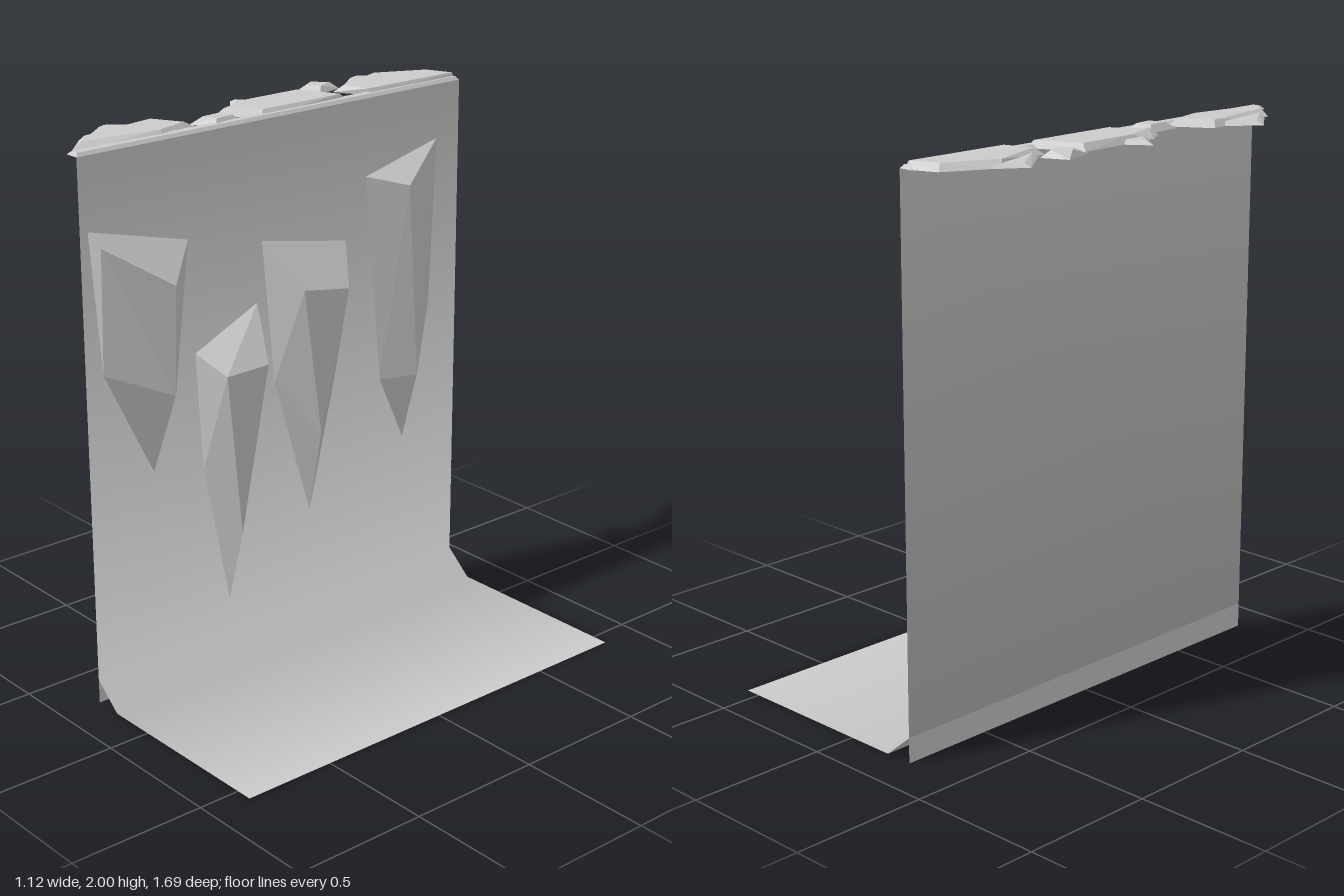
import * as THREE from 'three';
import { ConvexGeometry } from 'three/addons/geometries/ConvexGeometry.js';

const WALL_X = -0.285, TOP = 1.975, DEPTH = 1.69;

export function createModel() {
  const group = new THREE.Group();
  const solid = new THREE.MeshStandardMaterial({ color: 0xcccccc, flatShading: true });
  const sheet = new THREE.MeshStandardMaterial({ color: 0xcccccc, side: THREE.DoubleSide });

  const add = (name, geometry, material) => {
    const mesh = new THREE.Mesh(geometry, material);
    mesh.name = name;
    group.add(mesh);
    return mesh;
  };
  const hull = (name, points) =>
    add(name, new ConvexGeometry(points.map((p) => new THREE.Vector3(...p))), solid);

  // Wall and floor: one sheet bent along a profile, shaded smoothly through the corner
  const profile = [[WALL_X, TOP], [WALL_X, 0.09], [-0.18, 0], [0.56, 0]];
  const normals = [[1, 0], [0.71, 0.71], [0.71, 0.71], [0, 1]];
  const bent = new THREE.PlaneGeometry(DEPTH, 1, 1, 3);
  const pos = bent.attributes.position;
  for (let i = 0; i < pos.count; i++) {
    const row = Math.floor(i / 2);
    pos.setXYZ(i, profile[row][0], profile[row][1], -pos.getX(i));
    bent.attributes.normal.setXYZ(i, normals[row][0], normals[row][1], 0);
  }
  add('wallAndFloor', bent, sheet);

  // Foot of the wall behind the sloping corner
  const foot = add('wallFoot', new THREE.PlaneGeometry(DEPTH, 0.09), sheet);
  foot.rotation.y = Math.PI / 2;
  foot.position.set(WALL_X, 0.045, 0);

  // Hanging rocks: outline on the wall as [z, y], raised corners as [x, y, z]
  const hangingRocks = [
    {
      outline: [[0.815, 1.72], [0.41, 1.615], [0.465, 1.235], [0.58, 0.81], [0.775, 1.21]],
      raised: [[-0.24, 1.67, 0.795], [-0.14, 1.52, 0.57], [-0.15, 1.13, 0.575]],
    },
    {
      outline: [[0.39, 1.2], [0.115, 1.325], [0.135, 0.77], [0.26, 0.22], [0.365, 0.76]],
      raised: [[-0.175, 1.13, 0.335], [-0.16, 1.14, 0.165], [-0.2, 0.51, 0.26]],
    },
    {
      outline: [[0.09, 1.545], [-0.295, 1.47], [-0.24, 0.95], [-0.12, 0.465], [0.04, 1.01]],
      raised: [[-0.16, 1.375, 0], [-0.16, 1.34, -0.205], [-0.185, 0.81, -0.095]],
    },
    {
      outline: [[-0.39, 1.69], [-0.735, 1.775], [-0.705, 1.15], [-0.58, 0.64], [-0.465, 0.895], [-0.43, 1.275]],
      raised: [[-0.2, 1.65, -0.53], [-0.215, 0.905, -0.59]],
    },
  ];
  hangingRocks.forEach(({ outline, raised }, i) =>
    hull('hangingRock' + (i + 1), [...outline.map(([z, y]) => [WALL_X + 0.002, y, z]), ...raised]));

  // Narrow ledge along the top of the wall
  const h = DEPTH / 2;
  hull('topLedge', [-1, 1].flatMap((s) => [
    [WALL_X, TOP, s * h], [-0.34, TOP, s * h],
    [-0.295, TOP + 0.012, s * (h - 0.01)], [-0.325, TOP + 0.012, s * (h - 0.01)],
  ]));

  // Flat rocks on the ledge: lower and upper outlines as [x, z]
  const topRocks = [
    {
      base: [[-0.51, -0.63], [-0.42, -0.81], [-0.34, -0.84], [-0.3, -0.84], [-0.3, -0.44], [-0.435, -0.365]],
      top: [[-0.49, -0.61], [-0.405, -0.79], [-0.31, -0.83], [-0.315, -0.43], [-0.415, -0.4]],
    },
    {
      base: [[-0.555, -0.38], [-0.465, -0.42], [-0.44, -0.31], [-0.52, -0.255]],
      top: [[-0.53, -0.34], [-0.485, -0.39], [-0.46, -0.33], [-0.505, -0.31]],
    },
    {
      base: [[-0.49, -0.24], [-0.31, -0.32], [-0.3, 0.07], [-0.435, 0.17], [-0.485, 0.09]],
      top: [[-0.47, -0.23], [-0.32, -0.3], [-0.32, 0.05], [-0.42, 0.14], [-0.47, 0]],
    },
    {
      base: [[-0.4, 0.17], [-0.315, 0.145], [-0.3, 0.265], [-0.39, 0.315]],
      top: [[-0.38, 0.195], [-0.33, 0.175], [-0.32, 0.25], [-0.375, 0.265]],
    },
    {
      base: [[-0.485, 0.4], [-0.345, 0.315], [-0.3, 0.49], [-0.33, 0.84], [-0.36, 0.81], [-0.455, 0.72]],
      top: [[-0.465, 0.42], [-0.355, 0.36], [-0.325, 0.48], [-0.365, 0.77], [-0.42, 0.72]],
    },
  ];
  topRocks.forEach(({ base, top }, i) =>
    hull('topRock' + (i + 1), [
      ...base.map(([x, z]) => [x, TOP, z]),
      ...top.map(([x, z]) => [x, 2, z]),
    ]));

  // Pointed chips that stick out behind the large top rocks
  [[-0.565, -0.56, -0.74, -0.4], [-0.565, 0, -0.09, 0.1], [-0.565, 0.56, 0.41, 0.72]].forEach(
    ([x, z, z0, z1], i) =>
      hull('outerChip' + (i + 1), [
        [x, TOP, z], [-0.44, TOP, z0], [-0.44, TOP, z1],
        [-0.535, 1.988, z], [-0.44, 1.99, z0 + 0.03], [-0.44, 1.99, z1 - 0.03],
      ]));

  return group;
}
